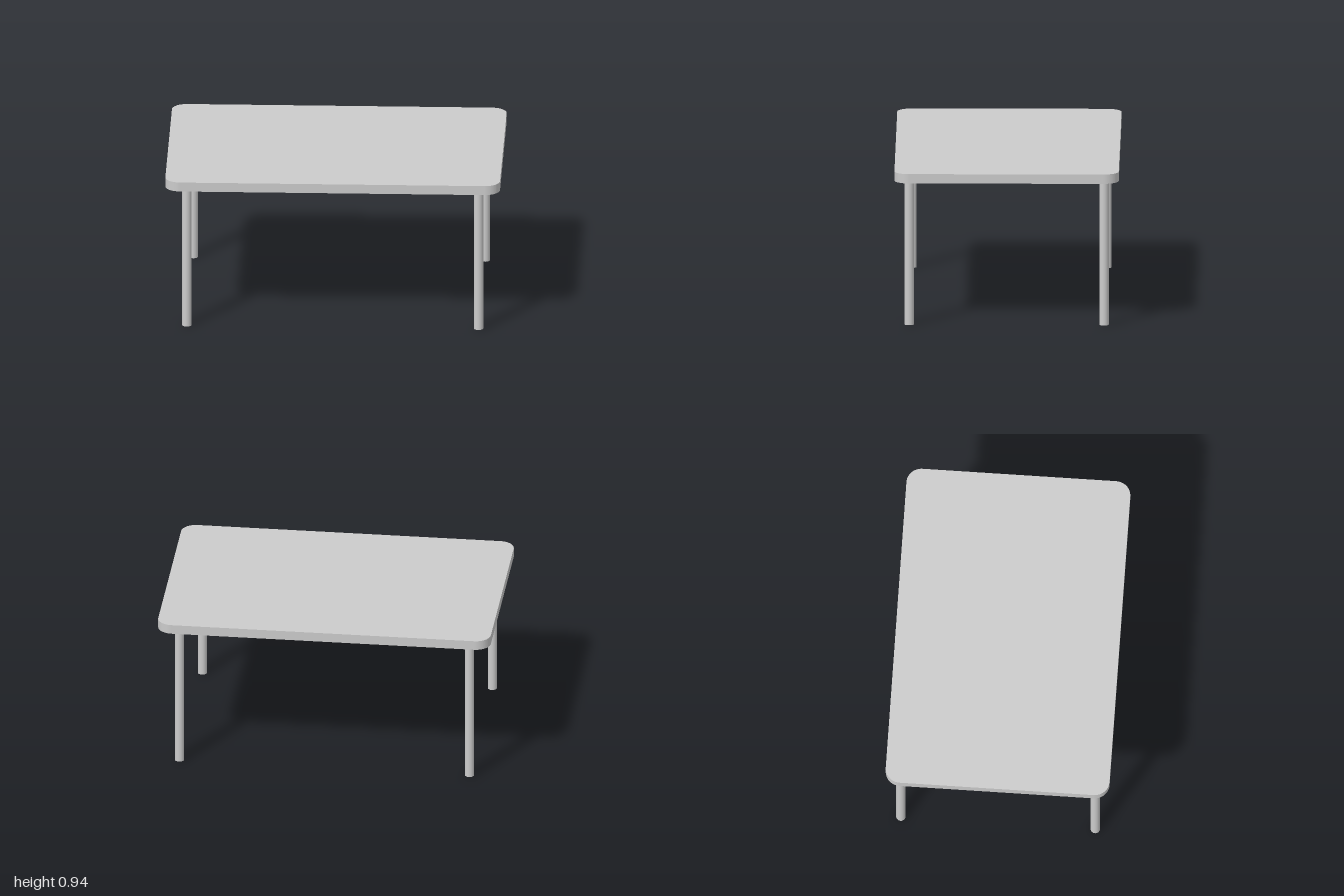
import * as THREE from 'three';

const HALF_W = 1, HALF_D = 0.67, CORNER = 0.09;
const TOP_Y = 0.94, UNDER_Y = 0.883;
const LEG_X = 0.872, LEG_Z = 0.582, LEG_R = 0.028;

// Rectangle with rounded corners, centred on the origin
function roundedRect(w, d, r) {
  const s = new THREE.Shape();
  s.absarc(w - r, d - r, r, 0, Math.PI / 2);
  s.absarc(-w + r, d - r, r, Math.PI / 2, Math.PI);
  s.absarc(-w + r, -d + r, r, Math.PI, Math.PI * 1.5);
  s.absarc(w - r, -d + r, r, Math.PI * 1.5, Math.PI * 2);
  s.closePath();
  return s;
}

export function createModel() {
  const table = new THREE.Group();
  table.name = 'table';
  const material = new THREE.MeshStandardMaterial({ color: 0xcccccc });
  const legMaterial = new THREE.MeshStandardMaterial({ color: 0xcccccc, side: THREE.DoubleSide });

  // Flat slab with rounded corners
  const slab = new THREE.ExtrudeGeometry(roundedRect(HALF_W, HALF_D, CORNER), {
    depth: TOP_Y - UNDER_Y, bevelEnabled: false, curveSegments: 12,
  });
  slab.rotateX(-Math.PI / 2);
  slab.translate(0, UNDER_Y, 0);
  const tabletop = new THREE.Mesh(slab, material);
  tabletop.name = 'tabletop';
  table.add(tabletop);

  // Four tubular legs, open at the foot
  const legGeometry = new THREE.CylinderGeometry(LEG_R, LEG_R, UNDER_Y, 24, 1, true);
  for (const [side, x] of [['Left', LEG_X], ['Right', -LEG_X]]) {
    for (const [end, z] of [['front', LEG_Z], ['back', -LEG_Z]]) {
      const leg = new THREE.Mesh(legGeometry, legMaterial);
      leg.name = `${end}${side}Leg`;
      leg.position.set(x, UNDER_Y / 2, z);
      table.add(leg);
    }
  }
  return table;
}
